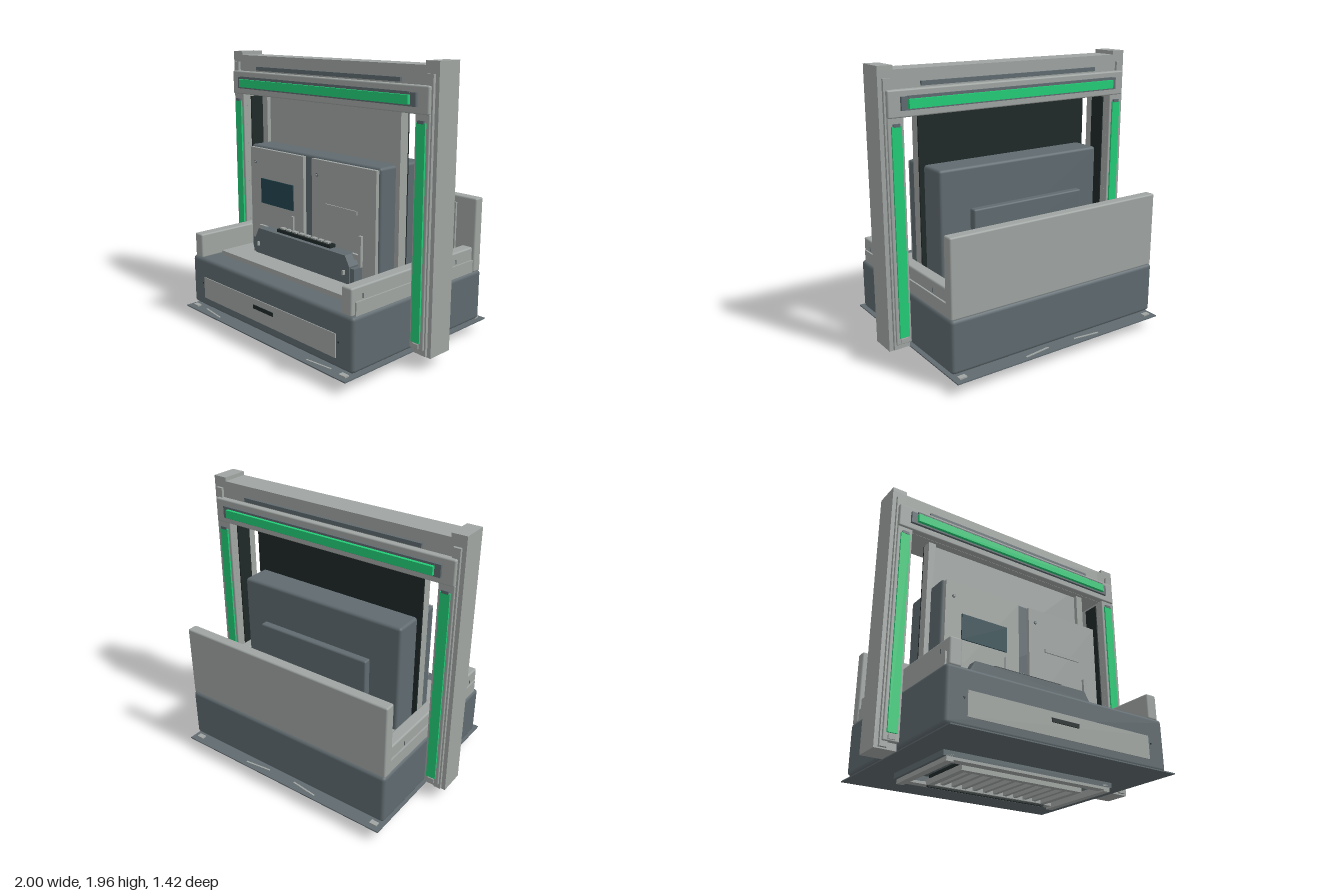
import * as THREE from 'three';
import { RoundedBoxGeometry } from 'three/addons/geometries/RoundedBoxGeometry.js';

const mat = (name, color) => {
  const m = new THREE.MeshStandardMaterial({ color });
  m.name = name;
  return m;
};

export function createModel() {
  const root = new THREE.Group();
  root.name = 'gantryMachine';
  const light = mat('lightGrey', 0x9fa5a2);
  const dark = mat('slateGrey', 0x5f6a6f);
  const black = mat('nearBlack', 0x1f2828);
  const green = mat('signalGreen', 0x22cc76);
  const glass = mat('screenTeal', 0x22454e);

  // Box given by its min and max on each axis; r rounds the edges
  const box = (name, m, x0, x1, y0, y1, z0, z1, r = 0, parent = root) => {
    const s = [x1 - x0, y1 - y0, z1 - z0];
    const g = r ? new RoundedBoxGeometry(...s, 2, r) : new THREE.BoxGeometry(...s);
    const mesh = new THREE.Mesh(g, m);
    mesh.position.set((x0 + x1) / 2, (y0 + y1) / 2, (z0 + z1) / 2);
    mesh.name = name;
    parent.add(mesh);
    return mesh;
  };
  // Same box on both sides of x = 0
  const pair = (name, m, x0, x1, ...rest) => {
    box(name + 'Left', m, x0, x1, ...rest);
    box(name + 'Right', m, -x1, -x0, ...rest);
  };

  // Base body and the thin skirt plate under it
  box('baseBody', dark, -0.845, 0.845, 0.11, 0.475, -0.64, 0.64, 0.025);
  box('baseFoot', dark, -0.8, 0.8, 0.09, 0.115, -0.6, 0.6);
  box('skirtPlate', dark, -0.85, 0.85, 0.084, 0.092, -0.71, 0.71);
  for (const s of [1, -1]) {
    pair('skirtTab', light, 0.76, 0.815, 0.092, 0.102, s > 0 ? 0.64 : -0.675, s > 0 ? 0.675 : -0.64);
    for (const k of [1, -1]) {
      const cx = s > 0 ? 0.57 : 0.21;
      const strip = box('skirtTrim', light, cx * k - 0.1, cx * k + 0.1, 0.092, 0.097, s * 0.665 - 0.006, s * 0.665 + 0.006);
      strip.rotation.y = k * 0.12;
    }
  }
  box('frontDrawer', light, -0.7, 0.7, 0.175, 0.335, 0.638, 0.646);
  box('drawerHandle', black, -0.108, 0.104, 0.265, 0.292, 0.645, 0.652);
  pair('frontScrew', black, 0.717, 0.727, 0.28, 0.29, 0.638, 0.643);

  // Tray floor, side arms and tall back wall
  box('trayFloor', light, -0.69, 0.69, 0.47, 0.51, -0.55, 0.485);
  pair('sideArm', light, 0.735, 0.82, 0.47, 0.65, -0.6, 0.63, 0.012);
  pair('armLip', light, 0.81, 0.832, 0.47, 0.56, -0.6, 0.6);
  for (const z of [0.53, -0.375]) pair('armSlot', dark, 0.819, 0.823, 0.57, 0.6, z - 0.004, z + 0.004);
  box('backWall', light, -0.84, 0.84, 0.47, 1.0, -0.632, -0.555, 0.012);
  box('wallInnerPanel', light, -0.68, 0.68, 0.51, 0.95, -0.556, -0.54);
  box('wallScreen', glass, -0.535, -0.1, 0.6, 0.85, -0.541, -0.525);
  box('wallControls', black, 0.29, 0.575, 0.66, 0.8, -0.541, -0.53);
  for (let i = 0; i < 5; i++) {
    box('wallKey', black, 0.32 + i * 0.05, 0.345 + i * 0.05, 0.68, 0.78, -0.532, -0.515);
  }

  // Tall centre panel with dark back
  box('tallPanel', light, -0.635, 0.635, 0.5, 1.7, 0.0, 0.04);
  pair('panelPost', light, 0.635, 0.69, 0.5, 1.7, 0.0, 0.07);
  box('panelBack', black, -0.69, 0.69, 0.5, 1.7, -0.01, 0.0);

  // Cabinet with two doors
  box('cabinet', dark, -0.655, 0.655, 0.5, 1.29, -0.205, 0.21, 0.02);
  box('doorRight', light, -0.635, -0.048, 0.51, 1.275, 0.205, 0.235);
  box('doorLeft', light, 0.04, 0.64, 0.51, 1.275, 0.205, 0.235);
  box('screen', glass, -0.51, -0.152, 0.87, 1.055, 0.234, 0.243);
  box('doorSlot', light, 0.175, 0.478, 0.96, 0.985, 0.234, 0.243);
  for (const x of [-0.575, 0.095]) {
    const knobs = [[0.012, dark, 0.237], [0.006, light, 0.241]];
    for (const [r, m, z] of knobs) {
      const knob = new THREE.Mesh(new THREE.CylinderGeometry(r, r, 0.008, 12), m);
      knob.rotation.x = Math.PI / 2;
      knob.position.set(x, 1.17, z);
      knob.name = 'doorKnob';
      root.add(knob);
    }
  }

  // Rear shelf and upright panel
  box('rearShelf', light, -0.525, 0.525, 0.66, 0.7, -0.375, -0.2);
  box('rearScreen', dark, -0.45, 0.45, 0.7, 1.02, -0.292, -0.235, 0.012);
  box('rearConsole', dark, -0.45, 0.45, 0.5, 0.66, -0.32, -0.2);

  // Front console with sloping ends
  const outline = new THREE.Shape([
    [-0.49, 0.51], [0.49, 0.51], [0.49, 0.63], [0.45, 0.7], [-0.45, 0.7], [-0.49, 0.63],
  ].map(([x, y]) => new THREE.Vector2(x, y)));
  const console_ = new THREE.Mesh(
    new THREE.ExtrudeGeometry(outline, { depth: 0.1, bevelEnabled: false }), dark);
  console_.position.z = 0.22;
  console_.name = 'frontConsole';
  root.add(console_);
  pair('consoleEnd', dark, 0.485, 0.525, 0.51, 0.62, 0.225, 0.31);
  pair('consoleFoot', light, 0.44, 0.452, 0.57, 0.6, 0.315, 0.34);
  pair('consoleShelf', light, 0.44, 0.525, 0.665, 0.7, 0.21, 0.255);
  box('consolePost', light, 0.505, 0.53, 0.62, 0.83, 0.235, 0.255);
  box('shortPost', light, -0.168, -0.145, 0.7, 0.83, 0.235, 0.25);
  box('keyboard', black, -0.28, 0.275, 0.7, 0.722, 0.235, 0.287);
  for (let i = 0; i < 8; i++) {
    const x = -0.265 + i * 0.066;
    box('key', light, x, x + 0.045, 0.72, 0.732, 0.243, 0.272);
  }

  // Gantry frame
  pair('gantryPost', light, 0.85, 1.0, 0.09, 1.93, -0.095, 0.095);
  pair('postCap', light, 0.895, 1.0, 1.925, 1.957, -0.095, 0.095);
  box('gantryBeam', light, -0.9, 0.9, 1.64, 1.93, -0.095, 0.095);
  pair('innerJamb', black, 0.842, 0.85, 0.5, 1.62, -0.06, 0.06);

  // Gantry trim and lamps, front and back
  for (const side of [1, -1]) {
    const face = (fn, name, m, x0, x1, y0, y1, z0, z1, r) =>
      fn(name, m, x0, x1, y0, y1, Math.min(side * z0, side * z1), Math.max(side * z0, side * z1), r);
    face(pair, 'postTrim', light, 0.92, 0.972, 0.1, 1.88, 0.09, 0.115);
    face(pair, 'postPlate', light, 0.85, 0.96, 0.135, 1.645, 0.09, 0.128, 0.006);
    face(pair, 'postLamp', green, 0.87, 0.938, 0.185, 1.59, 0.125, 0.14);
    face(pair, 'lampClipTop', dark, 0.88, 0.928, 1.585, 1.605, 0.125, 0.143);
    face(pair, 'lampClipBottom', light, 0.88, 0.928, 0.145, 0.175, 0.125, 0.137);
    face(box, 'beamPlate', light, -0.96, 0.96, 1.64, 1.812, 0.09, 0.14, 0.01);
    face(box, 'beamSlot', dark, -0.71, 0.71, 1.822, 1.85, 0.09, 0.112);
    face(box, 'lampHousing', dark, -0.875, 0.875, 1.685, 1.77, 0.135, 0.158);
    face(box, 'beamLamp', green, -0.832, 0.832, 1.697, 1.755, 0.157, 0.18);
    face(box, 'lampHood', dark, -0.832, 0.832, 1.765, 1.775, 0.155, 0.168);
  }

  // Underframe with grille
  for (const s of [1, -1]) {
    const z = s * 0.285;
    box('underRail', dark, -0.655, 0.655, 0.048, 0.088, z - 0.03, z + 0.03);
    box('grilleRail', light, -0.47, 0.47, 0.012, 0.05, s * 0.2 - 0.02, s * 0.2 + 0.02);
    box('runner', light, -0.6, 0.6, 0.03, 0.05, z - 0.03, z + 0.03);
  }
  pair('underEnd', dark, 0.6, 0.655, 0.048, 0.088, -0.27, 0.27);
  pair('runnerEnd', light, 0.585, 0.635, 0.018, 0.065, -0.315, 0.315);
  pair('grilleEnd', light, 0.43, 0.47, 0.012, 0.05, -0.2, 0.2);
  for (let i = 0; i < 10; i++) {
    const x = -0.37 + i * 0.0822;
    box('grilleSlat', light, x - 0.014, x + 0.014, 0.02, 0.05, -0.19, 0.19);
  }
  box('grilleBack', black, -0.46, 0.46, 0.06, 0.08, -0.2, 0.2);
  box('drainStub', black, -0.47, 0.47, 0.0, 0.012, -0.21, -0.195);
  return root;
}
